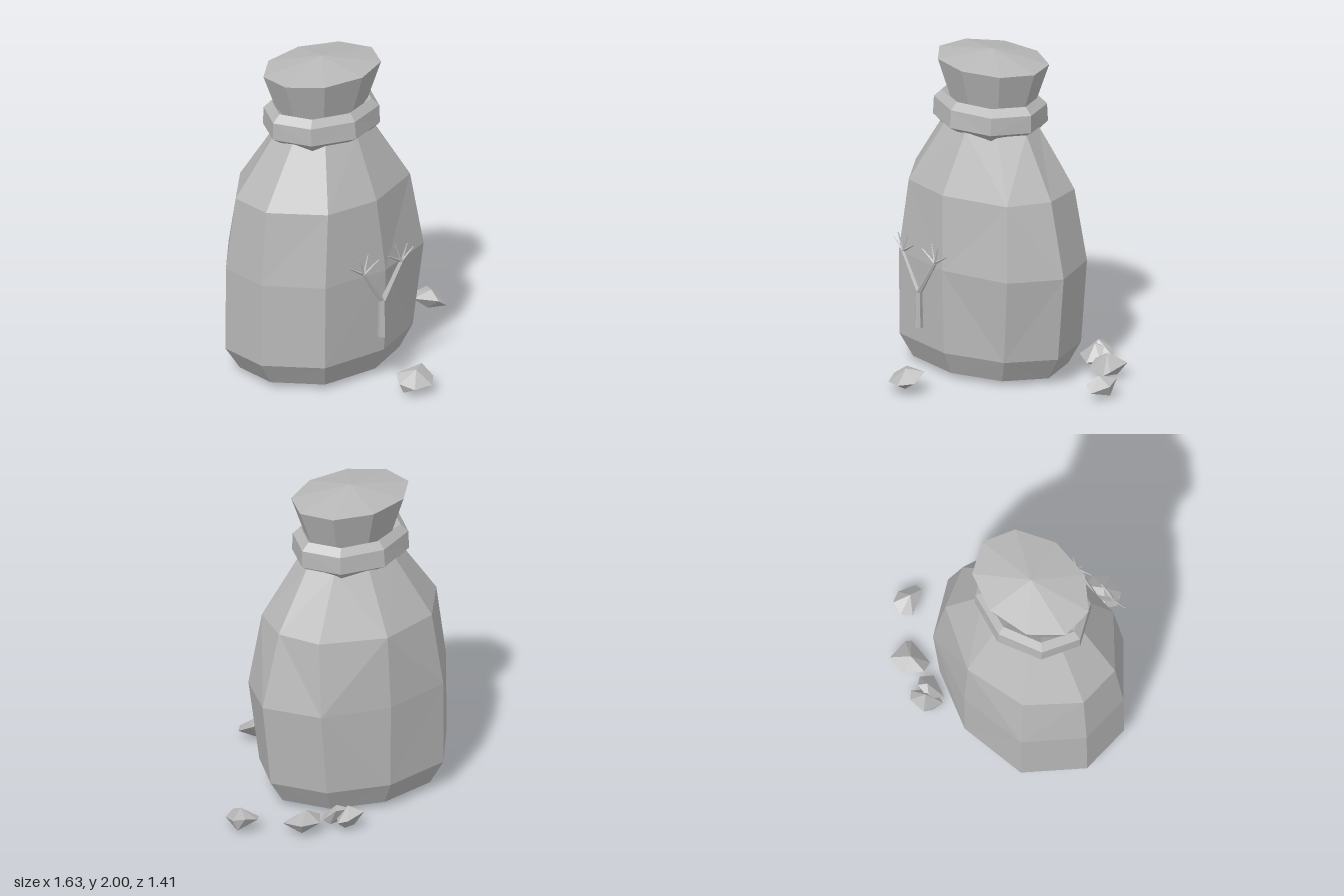
import * as THREE from 'three';
import { ConvexGeometry } from 'three/addons/geometries/ConvexGeometry.js';

// Faceted skin through rings of [x, y, z] points; end points close it, or it joins end to end
function loft(rings, bottom, top, closed = false) {
  const pos = [], n = rings[0].length;
  const tri = (a, b, c) => pos.push(...a, ...b, ...c);
  const last = closed ? rings.length : rings.length - 1;
  for (let j = 0; j < last; j++) {
    const lo = rings[j], hi = rings[(j + 1) % rings.length];
    for (let k = 0; k < n; k++) {
      const m = (k + 1) % n;
      if ((j + k) % 2) { tri(lo[k], hi[k], lo[m]); tri(lo[m], hi[k], hi[m]); }
      else { tri(lo[k], hi[k], hi[m]); tri(lo[k], hi[m], lo[m]); }
    }
  }
  for (let k = 0; k < n && !closed; k++) {
    const m = (k + 1) % n, end = rings[rings.length - 1];
    tri(bottom, rings[0][k], rings[0][m]);
    tri(top, end[m], end[k]);
  }
  const g = new THREE.BufferGeometry();
  g.setAttribute('position', new THREE.Float32BufferAttribute(pos, 3));
  g.computeVertexNormals();
  return g;
}

const oval = (n, cx, cz, y, rx, rz) => Array.from({ length: n }, (_, k) => {
  const a = (k / n) * Math.PI * 2;
  return [cx + rx * Math.cos(a), y, cz + rz * Math.sin(a)];
});
const level = (y, pts) => pts.map(([x, z]) => [x, y, z]);

// Tapered stick between two points
function stick(a, b, r0, r1, sides) {
  const from = new THREE.Vector3(...a), to = new THREE.Vector3(...b);
  const dir = to.clone().sub(from);
  let g = new THREE.CylinderGeometry(r1, r0, dir.length(), sides);
  g.applyQuaternion(new THREE.Quaternion().setFromUnitVectors(new THREE.Vector3(0, 1, 0), dir.normalize()));
  g.translate(...from.add(to).multiplyScalar(0.5).toArray());
  g = g.toNonIndexed();
  g.computeVertexNormals();
  return g;
}

export function createModel() {
  const model = new THREE.Group();
  model.name = 'tiedSack';
  const grey = new THREE.MeshStandardMaterial({ color: 0xb8b8b8 });
  grey.name = 'stone grey';
  const add = (name, geometry, parent = model) => {
    const mesh = new THREE.Mesh(geometry, grey);
    mesh.name = name;
    parent.add(mesh);
  };

  // Sack: lumpy nine-sided body, narrow neck and flared mouth
  const base = [[0.43, -0.15], [0.27, 0.14], [-0.1, 0.305], [-0.55, 0.28], [-0.815, 0],
    [-0.815, -0.33], [-0.54, -0.62], [-0.1, -0.64], [0.26, -0.47]];
  const belly = [[0.49, -0.145], [0.333, 0.168], [-0.1, 0.318], [-0.55, 0.285], [-0.812, 0],
    [-0.812, -0.33], [-0.54, -0.62], [-0.1, -0.645], [0.31, -0.475]];
  const shoulder = [[0.365, -0.15], [0.27, 0.116], [-0.14, 0.282], [-0.5, 0.25], [-0.76, -0.02],
    [-0.76, -0.3], [-0.5, -0.56], [-0.1, -0.615], [0.27, -0.41]];
  const foot = base.map(([x, z]) => [-0.19 + (x + 0.19) * 0.85, -0.165 + (z + 0.165) * 0.86]);
  add('sack', loft([
    level(0.035, foot), level(0.18, base), level(0.71, belly), level(1.17, shoulder),
    oval(9, -0.2, -0.145, 1.54, 0.335, 0.25),
    oval(9, -0.2, -0.155, 1.66, 0.295, 0.22),
    oval(9, -0.2, -0.155, 1.935, 0.4, 0.3),
  ], [-0.19, 0.035, -0.165], [-0.2, 2, -0.155]));

  // Thick band tied around the neck
  const band = [[1.505, 0.315, 0.25], [1.56, 0.385, 0.318], [1.67, 0.385, 0.308],
    [1.715, 0.335, 0.265], [1.66, 0.26, 0.19], [1.54, 0.26, 0.19]]
    .map(([y, rx, rz]) => oval(8, -0.208, -0.148, y, rx, rz));
  band[0].forEach((p, k) => { p[1] += k % 2 ? -0.012 : 0.012; });
  add('neckBand', loft(band, null, null, true));

  // Forked twig standing before the sack
  const twig = new THREE.Group();
  twig.name = 'twig';
  model.add(twig);
  const z = 0.412;
  add('twigStem', stick([-0.209, 0.34, z], [-0.209, 0.58, z], 0.028, 0.022, 5), twig);
  for (const s of [-1, 1]) {
    const tip = [-0.205 + s * 0.15, 0.79, z];
    add('twigBranch', stick([-0.205, 0.565, z], tip, 0.018, 0.012, 5), twig);
    [[0.252, 0.855], [0.19, 0.9], [0.11, 0.905], [0.04, 0.857]].forEach(([dx, y], i) =>
      add('twigSprig', stick(tip, [-0.205 + s * dx, y, z + (i % 2 ? 0.008 : -0.008)], 0.009, 0.004, 4), twig));
  }

  // Loose stones scattered around the foot
  const stones = {
    frontStone: [[-0.19, 0.125, 0.52], [0, 0.14, 0.535], [0.012, 0.085, 0.63], [-0.06, 0.07, 0.7],
      [-0.175, 0.06, 0.675], [-0.225, 0.085, 0.59], [-0.1, 0.148, 0.6], [-0.11, 0.015, 0.6], [-0.2, 0.025, 0.6]],
    sideStone: [[0.43, 0.09, -0.605], [0.56, 0.1, -0.585], [0.57, 0.07, -0.44], [0.55, 0.05, -0.405],
      [0.375, 0.04, -0.43], [0.35, 0.09, -0.51], [0.46, 0.153, -0.51], [0.43, 0.02, -0.47], [0.52, 0.025, -0.54]],
    farStone: [[0.7, 0.1, -0.34], [0.78, 0.12, -0.32], [0.812, 0.09, -0.24], [0.77, 0.06, -0.127],
      [0.715, 0.1, -0.135], [0.645, 0.085, -0.29], [0.73, 0.145, -0.22], [0.72, 0.02, -0.24], [0.79, 0.025, -0.26]],
    backStone: [[0.17, 0.12, -0.71], [0.29, 0.09, -0.7], [0.33, 0.07, -0.65], [0.25, 0.06, -0.55],
      [0.14, 0.05, -0.57], [0.15, 0.07, -0.65], [0.23, 0.15, -0.63], [0.18, 0.005, -0.63], [0.27, 0.02, -0.65]],
    backStoneChip: [[0.2, 0.12, -0.63], [0.31, 0.13, -0.61], [0.355, 0.06, -0.545], [0.3, 0.05, -0.48],
      [0.16, 0.06, -0.54], [0.27, 0.145, -0.57], [0.25, 0.015, -0.55], [0.32, 0.03, -0.57]],
  };
  for (const [name, pts] of Object.entries(stones))
    add(name, new ConvexGeometry(pts.map((p) => new THREE.Vector3(...p))));

  return model;
}
